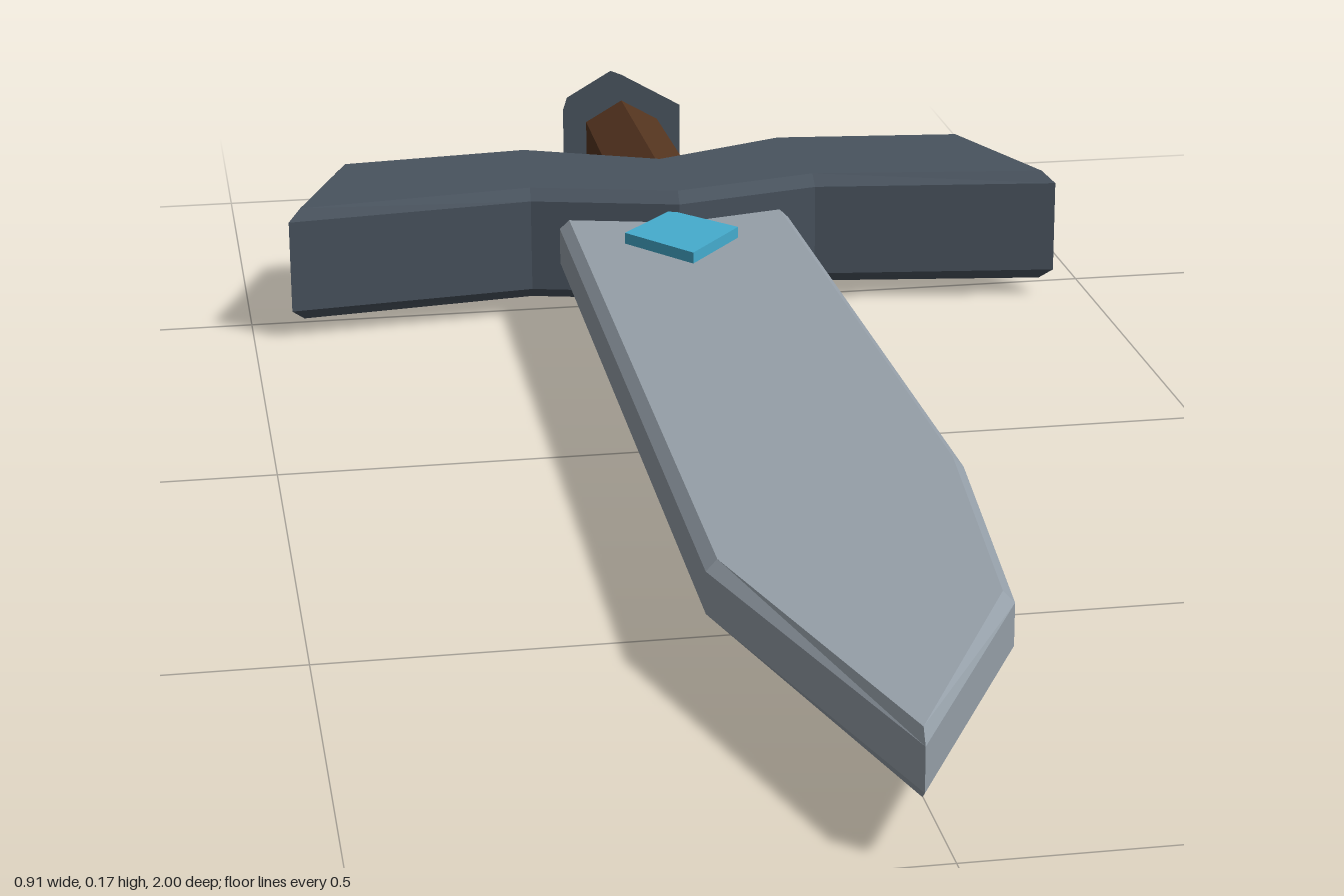
import * as THREE from 'three';

const MID = 0.09; // height of the sword's centre plane

function material(name, color) {
  const m = new THREE.MeshStandardMaterial({ color, flatShading: true });
  m.name = name;
  return m;
}

// Flat plate from an outline of [x, z] points, centred on y = 0, with chamfered rims
function plate(outline, thickness, bevel) {
  const shape = new THREE.Shape(outline.map(([x, z]) => new THREE.Vector2(x, z)));
  const depth = thickness - 2 * bevel;
  const geometry = new THREE.ExtrudeGeometry(shape, {
    depth,
    bevelEnabled: bevel > 0,
    bevelSize: bevel,
    bevelThickness: bevel,
    bevelOffset: -bevel,
    bevelSegments: 1,
  });
  return geometry.translate(0, 0, -depth / 2).rotateX(Math.PI / 2);
}

// Six-sided bar along z, with a corner pointing up
function hexBar(frontRadius, backRadius, zFront, zBack) {
  return new THREE.CylinderGeometry(frontRadius, backRadius, zFront - zBack, 6)
    .rotateX(Math.PI / 2)
    .translate(0, 0, (zFront + zBack) / 2);
}

export function createModel() {
  const sword = new THREE.Group();
  sword.name = 'sword';

  const steel = material('steel', 0x959fa8);
  const darkIron = material('darkIron', 0x49535e);
  const wood = material('wood', 0x54341f);
  const crystal = material('crystal', 0x45acce);

  const add = (name, geometry, mat) => {
    const mesh = new THREE.Mesh(geometry, mat);
    mesh.name = name;
    mesh.position.y = MID;
    sword.add(mesh);
  };

  // Blade with a slightly uneven point
  add('blade', plate([
    [-0.137, -0.52], [0.135, -0.52], [0.15, 0.38],
    [0.117, 0.72], [-0.028, 1.0], [-0.143, 0.6],
  ], 0.064, 0.011), steel);

  // Winged crossguard, mirrored about x = 0
  const wing = [[0.17, -0.475], [0.455, -0.44], [0.385, -0.637], [0.155, -0.662]];
  const mirrored = wing.map(([x, z]) => [-x, z]).reverse();
  add('crossguard', plate([[0, -0.432], ...wing, [0, -0.595], ...mirrored], 0.134, 0.013), darkIron);

  // Diamond gem passing through the blade
  add('gem', plate([
    [-0.01, -0.44], [0.057, -0.362], [-0.01, -0.274], [-0.075, -0.362],
  ], 0.09, 0), crystal);

  // Grip and flared pommel
  add('grip', hexBar(0.058, 0.053, -0.55, -0.91), wood);
  add('pommel', hexBar(0.0875, 0.067, -0.903, -1.0), darkIron);

  return sword;
}
